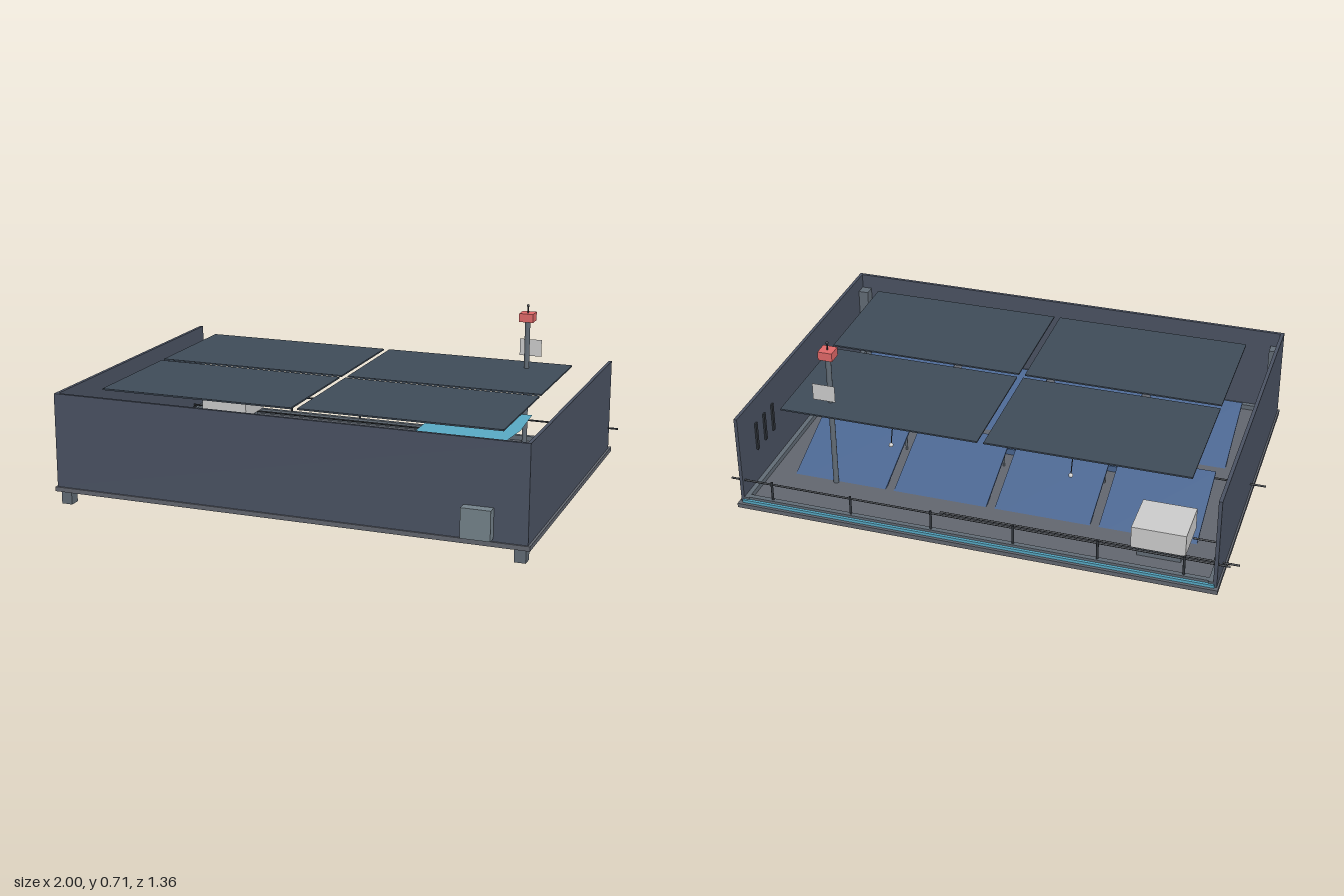
import * as THREE from 'three';

const mat = (color) => new THREE.MeshStandardMaterial({ color, side: THREE.DoubleSide });
const M = {
  wall: mat(0x4a5262), roof: mat(0x3f4b58), floor: mat(0x62666f), dark: mat(0x30353b),
  steel: mat(0x616b75), blue: mat(0x48648f), cyan: mat(0x58a9c4), white: mat(0xcccccc),
  red: mat(0xe06868), cabinet: mat(0x74828a),
};

export function createModel() {
  const root = new THREE.Group();
  const add = (name, geo, m) => {
    const mesh = new THREE.Mesh(geo, m);
    mesh.name = name;
    root.add(mesh);
    return mesh;
  };
  // box given by its limits along each axis
  const box = (name, m, x0, x1, y0, y1, z0, z1) => {
    const b = add(name, new THREE.BoxGeometry(x1 - x0, y1 - y0, z1 - z0), m);
    b.position.set((x0 + x1) / 2, (y0 + y1) / 2, (z0 + z1) / 2);
    return b;
  };
  // round bar between two points
  const bar = (name, m, a, b, r, sides = 8) => {
    const p = new THREE.Vector3(...a), q = new THREE.Vector3(...b);
    const d = q.clone().sub(p);
    const c = add(name, new THREE.CylinderGeometry(r, r, d.length(), sides), m);
    c.position.copy(p).add(q).multiplyScalar(0.5);
    c.quaternion.setFromUnitVectors(new THREE.Vector3(0, 1, 0), d.normalize());
    return c;
  };
  const ball = (name, m, x, y, z, r) =>
    add(name, new THREE.SphereGeometry(r, 12, 8), m).position.set(x, y, z);

  // floor slab and three walls, open at the back
  box('floorSlab', M.floor, -0.945, 0.967, 0.056, 0.074, -0.68, 0.647);
  box('rightWall', M.wall, -0.938, -0.924, 0.074, 0.45, -0.66, 0.64);
  box('leftWall', M.wall, 0.945, 0.958, 0.074, 0.45, -0.66, 0.64);
  box('frontWall', M.wall, -0.938, 0.958, 0.074, 0.45, 0.627, 0.64);

  // low curbs along the inside of the walls
  box('rightCurb', M.steel, -0.924, -0.905, 0.074, 0.095, -0.66, 0.627);
  box('leftCurb', M.steel, 0.926, 0.945, 0.074, 0.095, -0.66, 0.627);
  box('frontCurb', M.steel, -0.924, 0.945, 0.074, 0.095, 0.608, 0.627);
  box('backCurb', M.steel, -0.924, 0.945, 0.074, 0.095, -0.655, -0.635);
  box('backLightStrip', M.cyan, -0.93, 0.95, 0.073, 0.086, -0.668, -0.657);

  // corner posts that pass through the floor as feet
  for (const x of [-0.91, 0.925])
    box('cornerPost', M.steel, x - 0.022, x + 0.022, 0, 0.39, 0.578, 0.623);

  // vent slots inside the left wall
  for (let i = 0; i < 3; i++)
    box('ventSlot', M.dark, 0.938, 0.946, 0.23, 0.35, -0.52 + i * 0.075, -0.505 + i * 0.075);

  // four roof panels
  for (const [x0, x1] of [[-0.803, -0.005], [0.02, 0.82]])
    for (const z of [-0.535, -0.005])
      box('roofPanel', M.roof, x0, x1, 0.443, 0.449, z, z + 0.505);

  // two rows of tilted panels, low edge at the back
  const tilt = 0.36, len = 0.39;
  for (const z of [-0.455, 0.09])
    for (let i = 0; i < 4; i++) {
      const x = -0.62 + i * 0.42;
      const panel = add('tiltedPanel', new THREE.BoxGeometry(0.385, 0.008, len), M.blue);
      panel.rotation.x = -tilt;
      panel.position.set(x, 0.056 + Math.sin(tilt) * len / 2, z + Math.cos(tilt) * len / 2);
      box('panelLowerEdge', M.dark, x - 0.19, x + 0.19, 0.05, 0.062, z - 0.004, z + 0.004);
      for (const s of [-0.17, 0.17])
        bar('panelLeg', M.steel, [x + s, 0.07, z + 0.34], [x + s, 0.178, z + 0.34], 0.005);
    }

  // ducts in the middle aisle
  box('aisleDuct', M.blue, -0.44, -0.02, 0.074, 0.1, -0.03, -0.005);
  box('aisleDuct', M.blue, 0.03, 0.45, 0.074, 0.1, -0.03, -0.005);

  // back handrail with posts
  bar('backRail', M.dark, [-0.98, 0.165, -0.643], [1, 0.165, -0.643], 0.004);
  for (let i = 0; i < 6; i++)
    bar('railPost', M.dark, [-0.81 + i * 0.328, 0.074, -0.643], [-0.81 + i * 0.328, 0.175, -0.643], 0.005);

  // pipes leaving through the right wall
  bar('supplyPipe', M.dark, [-1, 0.108, -0.55], [0.17, 0.108, -0.55], 0.004);
  bar('supplyPipe', M.dark, [-1, 0.108, -0.005], [-0.5, 0.108, -0.005], 0.004);
  bar('branchPipe', M.dark, [-0.905, 0.108, -0.55], [-0.905, 0.108, -0.43], 0.004);
  bar('branchPipe', M.dark, [-0.905, 0.108, -0.43], [-0.8, 0.108, -0.43], 0.004);

  // small sensors hung below the roof edge
  for (const x of [-0.35, 0.36]) {
    ball('sensor', M.white, x, 0.38, -0.55, 0.009);
    bar('sensorArm', M.dark, [x, 0.38, -0.55], [x, 0.44, -0.53], 0.002);
  }

  // equipment boxes
  box('equipmentBox', M.white, -0.8, -0.59, 0.12, 0.21, -0.57, -0.38);
  box('equipmentStand', M.steel, -0.78, -0.61, 0.074, 0.12, -0.55, -0.4);
  box('frontCabinet', M.cabinet, 0.717, 0.83, 0.085, 0.2, 0.58, 0.68);
  box('storageCrate', M.cabinet, 0.54, 0.83, 0.074, 0.16, 0.4, 0.53);

  // cyan cover sheet with slightly bowed edges
  const s = new THREE.Shape();
  s.moveTo(0.48, -0.51);
  for (const [x, z] of [[0.65, 0.525], [0.825, 0.512], [0.84, 0.34], [0.825, 0.12], [0.48, 0.12]])
    s.lineTo(x, -z);
  const sheet = add('coverSheet', new THREE.ShapeGeometry(s), M.cyan);
  sheet.rotation.x = -Math.PI / 2;
  sheet.position.y = 0.405;

  // signal mast with red head and sign plate
  const mx = 0.655, mz = -0.425;
  bar('mast', M.steel, [mx, 0.074, mz], [mx, 0.645, mz], 0.011, 12);
  box('mastHead', M.red, mx - 0.029, mx + 0.029, 0.645, 0.68, mz - 0.029, mz + 0.029);
  bar('antenna', M.dark, [mx, 0.68, mz], [mx, 0.708, mz], 0.003);
  ball('antennaTip', M.dark, mx, 0.709, mz, 0.006);
  const sign = add('signPlate', new THREE.PlaneGeometry(0.092, 0.07), M.white);
  sign.position.set(mx, 0.521, -0.485);

  return root;
}
